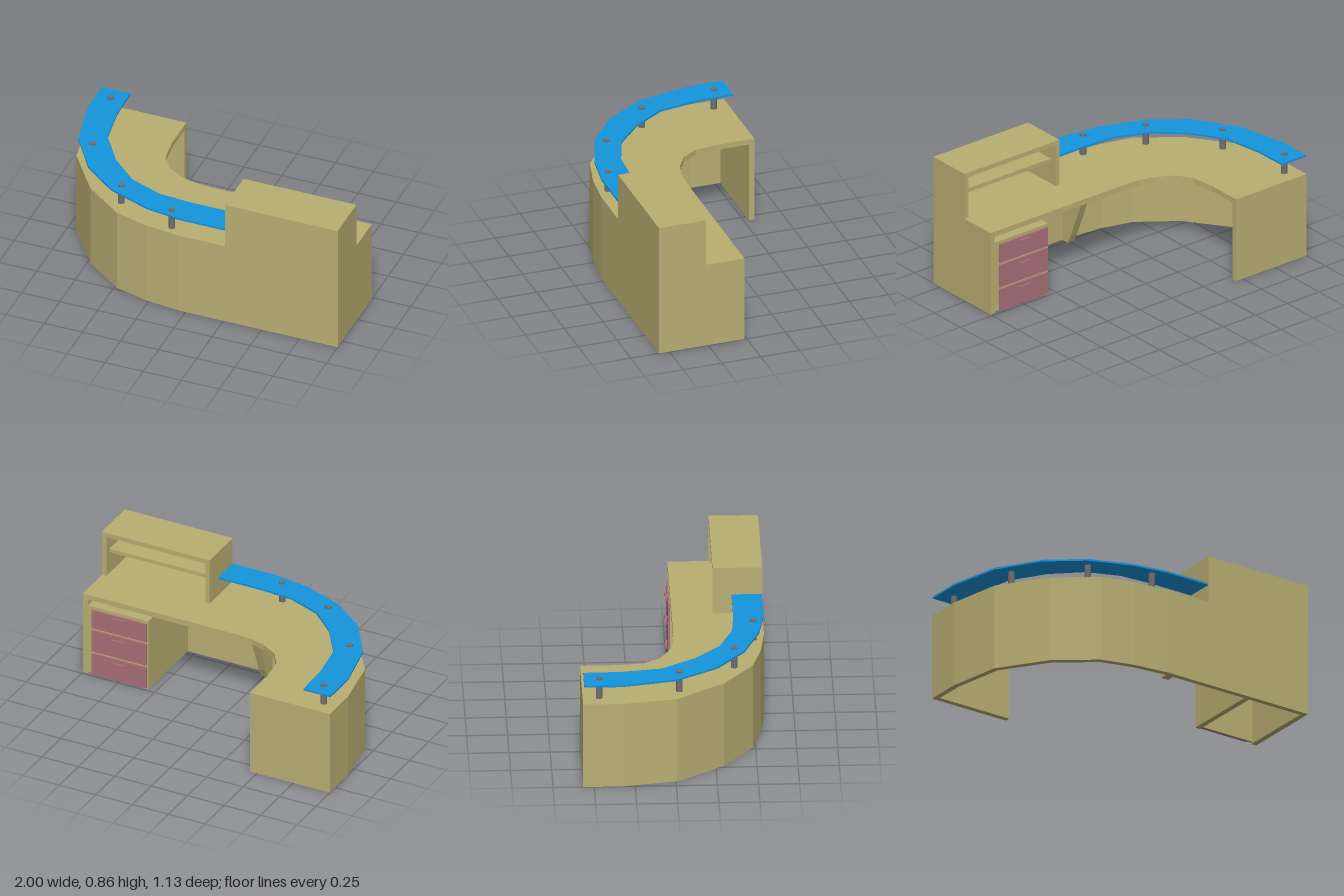
import * as THREE from 'three';

const material = (color) => new THREE.MeshStandardMaterial({ color });

export function createModel() {
  const desk = new THREE.Group();
  desk.name = 'receptionDesk';
  const wood = material(0xb8ae72);
  const drawerColor = material(0xa87078);
  const glass = material(0x1494dc);
  const metal = material(0x707070);

  const add = (name, geometry, mat, parent = desk) => {
    const mesh = new THREE.Mesh(geometry, mat);
    mesh.name = name;
    parent.add(mesh);
    return mesh;
  };

  // Box given by its minimum and maximum corners
  const box = (name, [x0, y0, z0], [x1, y1, z1], mat = wood, parent = desk) => {
    const mesh = add(name, new THREE.BoxGeometry(x1 - x0, y1 - y0, z1 - z0), mat, parent);
    mesh.position.set((x0 + x1) / 2, (y0 + y1) / 2, (z0 + z1) / 2);
    return mesh;
  };

  // Upright prism over an outline of [x, z] points
  const slab = (name, outline, y0, y1, mat) => {
    const shape = new THREE.Shape(outline.map(([x, z]) => new THREE.Vector2(x, -z)));
    const geometry = new THREE.ExtrudeGeometry(shape, { depth: y1 - y0, bevelEnabled: false });
    geometry.rotateX(-Math.PI / 2).translate(0, y0, 0);
    return add(name, geometry, mat);
  };

  // Mitred offset of an open path towards the inside of the curve
  const inset = (path, t) => path.map(([x, z], i) => {
    const normal = (a, b) => new THREE.Vector2(b[1] - a[1], a[0] - b[0]).normalize();
    const before = i > 0 ? normal(path[i - 1], path[i]) : normal(path[0], path[1]);
    const after = i < path.length - 1 ? normal(path[i], path[i + 1]) : before;
    const k = t / (1 + before.dot(after));
    return [x + (before.x + after.x) * k, z + (before.y + after.y) * k];
  });

  const T = 0.035; // board thickness
  const counterBottom = 0.52, counterTop = 0.555;
  const back = 0.015, front = 0.567;

  // Curved counter
  const bend = [[-1, -0.33], [-0.94, 0.01], [-0.73, 0.3], [-0.48, 0.485], [-0.27, 0.54], [-0.04, front]];
  const innerBend = [[-0.05, back], [-0.16, 0.007], [-0.26, -0.02], [-0.365, -0.08], [-0.43, -0.18], [-0.45, -0.33]];
  slab('counterTop', [[-1, -0.567], ...bend, [1, front], [1, back], ...innerBend, [-0.45, -0.567]],
    counterBottom, counterTop, wood);

  // Front wall following the bend, and the two end panels
  const wallPath = [[-1, -0.567 + T], ...bend, [1 - T, front]];
  slab('frontWall', [...wallPath, ...inset(wallPath, T).reverse()], 0, counterBottom, wood);
  box('wingEndPanel', [-1, 0, -0.567], [-0.45, counterBottom, -0.567 + T]);
  box('sidePanel', [1 - T, 0, back], [1, counterBottom, front]);

  // Tapered bracket under the counter
  const bracketShape = new THREE.Shape([
    [0.54, 0], [0.48, 0], [0.45, 0.06], [0.3, 0.44], [0.08, 0.49], [0.08, 0.52], [0.54, 0.52],
  ].map(([z, y]) => new THREE.Vector2(z, y)));
  const bracket = new THREE.ExtrudeGeometry(bracketShape, { depth: 0.05, bevelEnabled: false });
  add('counterBracket', bracket.rotateY(-Math.PI / 2), wood).position.x = 0.02;

  // Drawer pedestal, open underneath, with a slot below the counter
  const pedestal = new THREE.Group();
  pedestal.name = 'drawerPedestal';
  desk.add(pedestal);
  const pedestalTop = 0.48;
  box('pedestalSide', [0.55, 0, back], [0.55 + T, pedestalTop, front - T], wood, pedestal);
  box('pedestalTop', [0.55 + T, pedestalTop - 0.02, back], [1 - T, pedestalTop, front - T], wood, pedestal);
  box('pedestalBacking', [0.55 + T, 0.01, back], [1 - T, pedestalTop - 0.02, back + 0.015], wood, pedestal);
  [[0.01, 0.155], [0.17, 0.32], [0.335, 0.46]].forEach(([y0, y1], i) => {
    const drawer = new THREE.Group();
    drawer.name = `drawer${i + 1}`;
    pedestal.add(drawer);
    box('drawerFront', [0.56, y0, 0.004], [0.935, y1, back + 0.003], drawerColor, drawer);
    const h = [0.122, 0.285, 0.437][i];
    box('drawerHandle', [0.7, h - 0.009, -0.008], [0.79, h + 0.009, 0.004], drawerColor, drawer);
  });

  // Raised hutch, open towards the back, with a shelf
  const hutch = new THREE.Group();
  hutch.name = 'hutch';
  desk.add(hutch);
  const hx = 0.26, hz = 0.265, hTop = 0.86;
  box('hutchTop', [hx, hTop - 0.03, hz], [1, hTop, front], wood, hutch);
  box('hutchFront', [hx, counterTop, front - T], [1, hTop - 0.03, front], wood, hutch);
  for (const x of [hx, 1 - 0.03]) {
    box('hutchSide', [x, counterTop, hz], [x + 0.03, hTop - 0.03, front - T], wood, hutch);
  }
  box('hutchShelf', [hx + 0.03, 0.7, 0.31], [0.97, 0.725, front - T], wood, hutch);

  // Curved glass ledge on posts
  slab('glassLedge', [
    [-1, -0.56], [-1, -0.33], [-0.93, 0], [-0.76, 0.26], [-0.54, 0.43], [-0.27, 0.53], [-0.04, 0.565], [hx, 0.565],
    [hx, 0.38], [-0.04, 0.38], [-0.25, 0.365], [-0.46, 0.285], [-0.63, 0.13], [-0.77, -0.08], [-0.81, -0.33], [-0.815, -0.56],
  ], 0.669, 0.681, glass);
  for (const [x, z] of [[-0.905, -0.467], [-0.825, 0.025], [-0.5, 0.37], [-0.115, 0.5]]) {
    const post = add('ledgePost', new THREE.CylinderGeometry(0.02, 0.02, 0.135, 16), metal);
    post.position.set(x, counterTop + 0.0675, z);
  }

  return desk;
}
